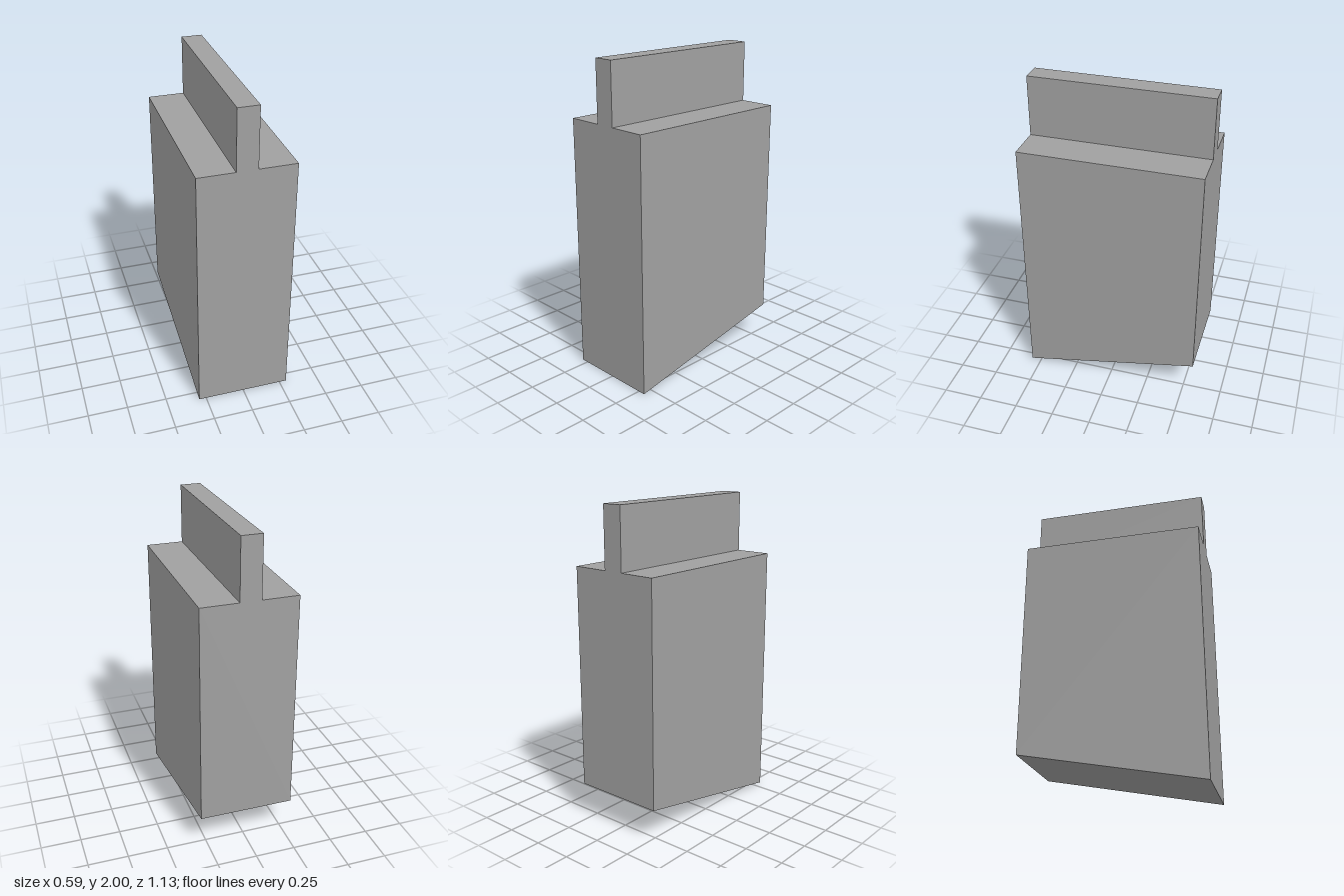
import * as THREE from 'three';

export function createModel() {
  const group = new THREE.Group();
  const grey = new THREE.MeshStandardMaterial({ color: 0xa0a0a0 });
  grey.name = 'grey';

  const halfWidth = 0.296, halfDepth = 0.564;
  const shoulder = 1.62, top = 2, backRise = 0.22;
  const ribLeft = 0.062, ribRight = -0.068;

  // Block and upright rib share one T-shaped cross-section
  const profile = new THREE.Shape([
    [-halfWidth, 0], [halfWidth, 0], [halfWidth, shoulder], [ribLeft, shoulder],
    [ribLeft, top], [ribRight, top], [ribRight, shoulder], [-halfWidth, shoulder],
  ].map(([x, y]) => new THREE.Vector2(x, y)));

  const geometry = new THREE.ExtrudeGeometry(profile, { depth: 2 * halfDepth, bevelEnabled: false });
  geometry.translate(0, 0, -halfDepth);

  // Slanted underside: lift the lower back edge
  const position = geometry.attributes.position;
  for (let i = 0; i < position.count; i++) {
    if (position.getY(i) < 0.01 && position.getZ(i) < 0) position.setY(i, backRise);
  }
  geometry.computeVertexNormals();

  const block = new THREE.Mesh(geometry, grey);
  block.name = 'ribbedBlock';
  group.add(block);
  return group;
}
